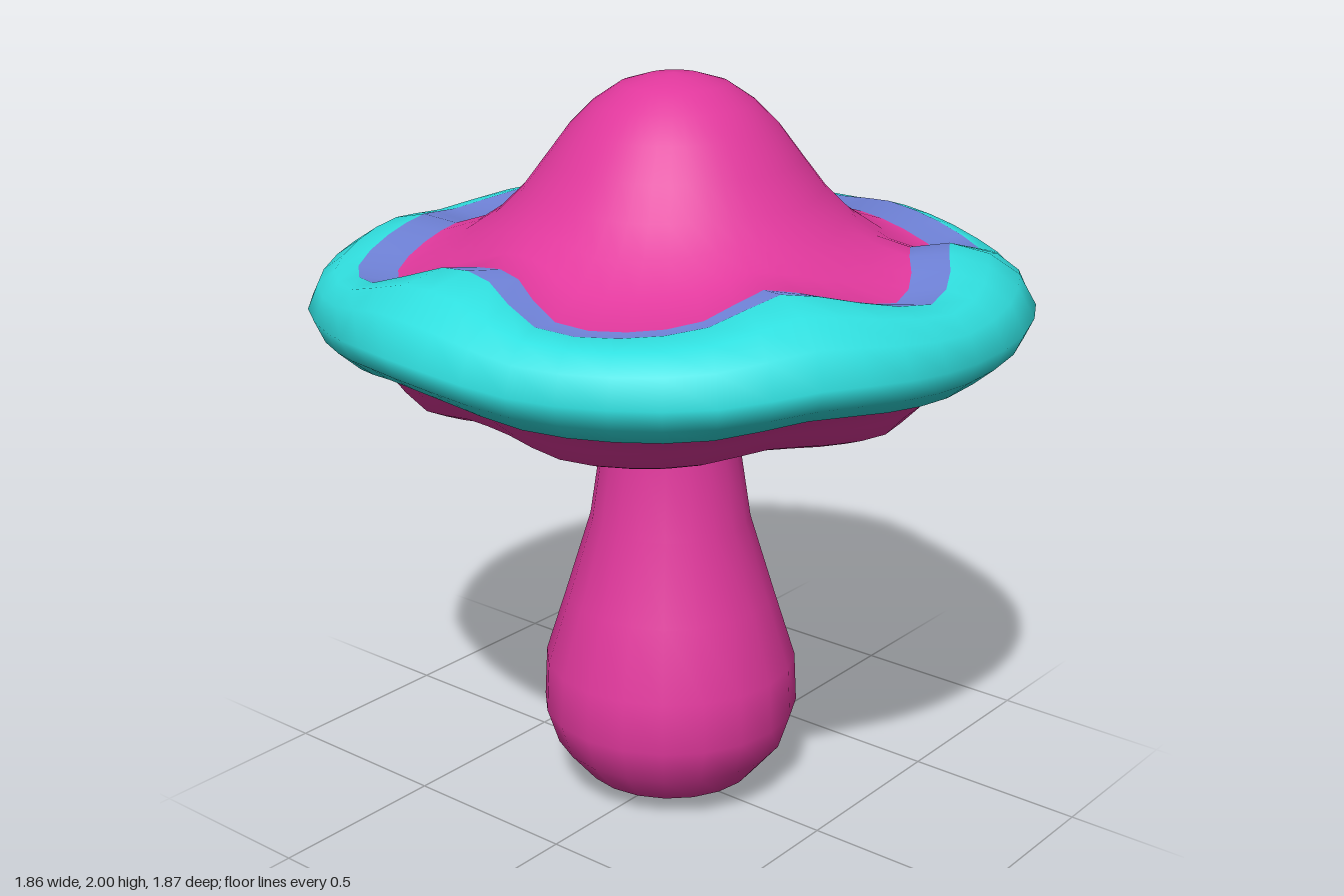
import * as THREE from 'three';

const material = (name, color) => {
  const m = new THREE.MeshStandardMaterial({ color });
  m.name = name;
  return m;
};

// Radii every 15 degrees, starting at +x and turning towards +z
const LOBES = [.68, .64, .665, .71, .61, .645, .69, .64, .59, .66, .69, .68,
  .59, .59, .70, .715, .67, .65, .70, .64, .61, .71, .635, .66];
const RIM = [.925, .875, .88, .92, .935, .94, .925, .93, .935, .95, .94, .93,
  .93, .925, .92, .95, .95, .95, .94, .92, .89, .93, .90, .92];
const MEAN = .655;
const SEGMENTS = 48;

// Smooth lookup in a closed table, t in 0..1
function sample(table, t) {
  const n = table.length, k = Math.floor(t * n), f = t * n - k;
  const [a, b, c, d] = [-1, 0, 1, 2].map(o => table[(k + o + n) % n]);
  return b + .5 * f * (c - a + f * (2 * a - 5 * b + 4 * c - d + f * (3 * (b - c) + d - a)));
}

// Each ring is a function (lobe radius, rim radius, wave height) -> [radius, y]
const crown = (r, y, blend) => (p, o, w) => [r * (1 + blend * (p / MEAN - 1)), y + blend * w];
const roll = (f, y, k) => (p, o, w) => [THREE.MathUtils.lerp(p + .1, o, f), y + k * w];
const under = (r, y, k) => (p, o, w) => [r + k * (p - MEAN), y + k * w];

const TOP = [
  crown(.001, 2, 0), crown(.07, 1.993, 0), crown(.14, 1.972, 0), crown(.21, 1.925, 0),
  crown(.27, 1.865, 0), crown(.33, 1.785, .05), crown(.39, 1.705, .15),
  crown(.46, 1.635, .35), crown(.55, 1.575, .7), crown(MEAN, 1.54, 1),
];
const BAND = [roll(0, 1.555, 1)];
const ROLL = [
  roll(.45, 1.537, .8), roll(.8, 1.492, .6), roll(1, 1.42, .4),
  (p, o, w) => [o - .025, 1.365 + .4 * w],
  (p, o, w) => [o - .08, 1.32 + .5 * w],
  (p, o, w) => [o - .16, 1.305 + .5 * w],
];
const UNDERSIDE = [
  under(.715, 1.24, .3), under(.66, 1.185, .35), under(.61, 1.165, .35),
  under(.53, 1.17, .3), under(.42, 1.205, .15), under(.3, 1.225, 0), under(.13, 1.215, 0),
];

// One closed skin through all rings, with a material group for each colour zone
function capGeometry(zones) {
  const rings = zones.flatMap(z => z.rings);
  const positions = [], index = [];
  for (const ring of rings) {
    for (let j = 0; j < SEGMENTS; j++) {
      const t = j / SEGMENTS, a = t * Math.PI * 2;
      const p = sample(LOBES, t), o = sample(RIM, t);
      const [r, y] = ring(p, o, (MEAN - p) * .65);
      positions.push(r * Math.cos(a), y, r * Math.sin(a));
    }
  }
  for (let i = 0; i < rings.length - 1; i++) {
    for (let j = 0; j < SEGMENTS; j++) {
      const k = (j + 1) % SEGMENTS;
      const a = i * SEGMENTS + j, b = i * SEGMENTS + k;
      index.push(a, b, a + SEGMENTS, b, b + SEGMENTS, a + SEGMENTS);
    }
  }
  const g = new THREE.BufferGeometry();
  g.setAttribute('position', new THREE.Float32BufferAttribute(positions, 3));
  g.setIndex(index);
  g.computeVertexNormals();
  let start = 0;
  zones.forEach((z, i) => {
    const count = (z.rings.length - (i === 0 ? 1 : 0)) * SEGMENTS * 6;
    g.addGroup(start, count, z.material);
    start += count;
  });
  return g;
}

export function createModel() {
  const pink = material('pink', 0xe0389c);
  const blue = material('periwinkle', 0x6f82d8);
  const teal = material('turquoise', 0x30dfdf);
  const model = new THREE.Group();
  model.name = 'mushroom';

  // Cap: crown, thin band, rolled rim and hollow underside
  const cap = new THREE.Mesh(capGeometry([
    { rings: TOP, material: 0 },
    { rings: BAND, material: 1 },
    { rings: ROLL, material: 2 },
    { rings: UNDERSIDE, material: 0 },
  ]), [pink, blue, teal]);
  cap.name = 'cap';
  model.add(cap);

  // Stem: bulbous foot narrowing to the cap
  const profile = [[0, 0], [.15, .01], [.245, .06], [.32, .15], [.352, .25], [.345, .39],
    [.285, .58], [.218, .8], [.188, 1], [.172, 1.18], [.17, 1.28]];
  const stem = new THREE.Mesh(
    new THREE.LatheGeometry(profile.map(([x, y]) => new THREE.Vector2(x, y)), 20), pink);
  stem.name = 'stem';
  stem.position.set(-.01, 0, -.005);
  model.add(stem);

  return model;
}
